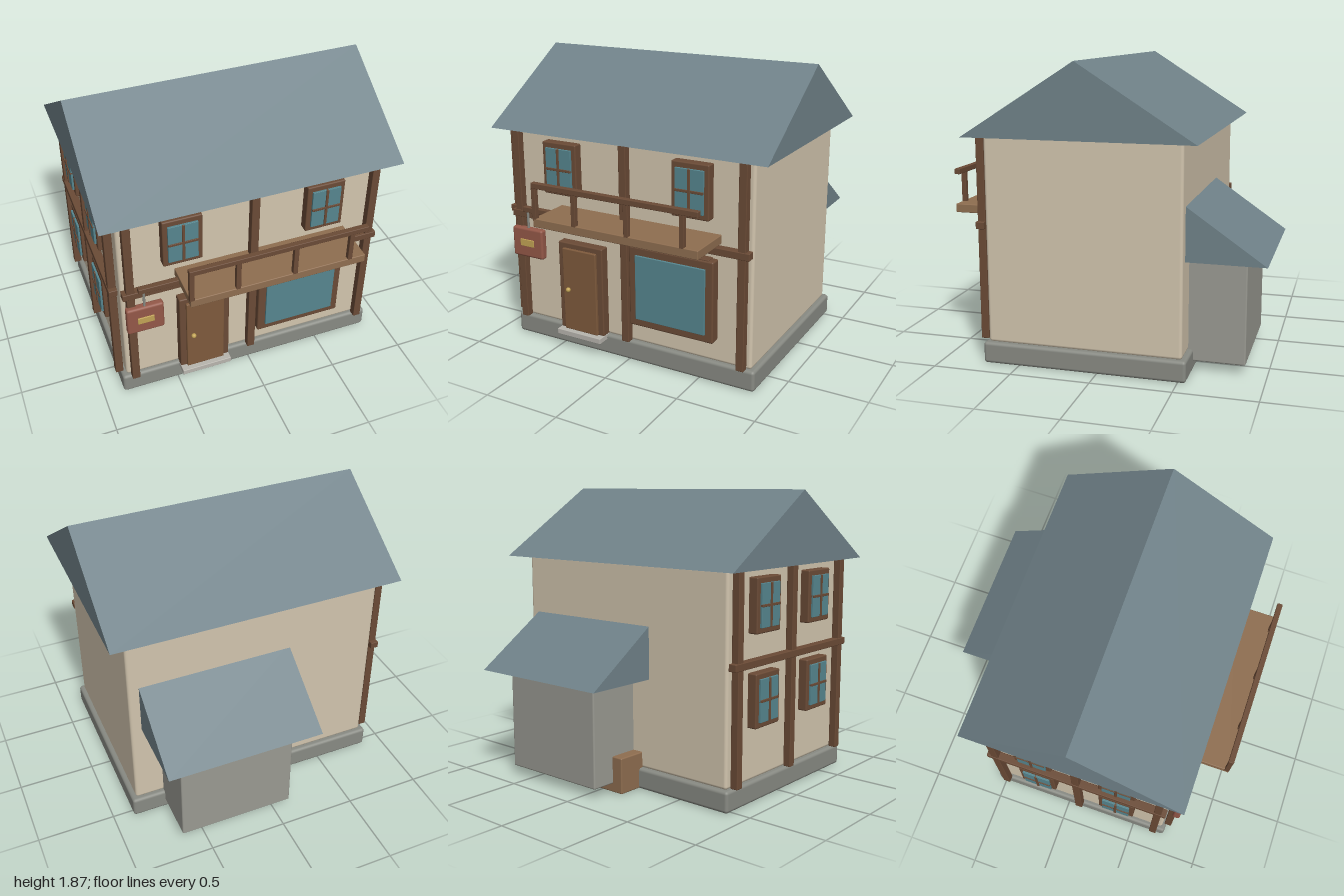
import * as THREE from 'three';
import { RoundedBoxGeometry } from 'three/addons/geometries/RoundedBoxGeometry.js';

const mat = (color) => new THREE.MeshStandardMaterial({ color });
const M = {
  wall: mat(0xd2c5ae), roof: mat(0x708289), stone: mat(0x888a83), annex: mat(0x9a9a92),
  step: mat(0xb8b5ae), timber: mat(0x6b4b36), door: mat(0x7e5a3c), deck: mat(0x8f6e50),
  glass: mat(0x56868f), sign: mat(0x945848), brass: mat(0xc2a355),
};

// Softly bevelled box given by its min/max extents
function block(parent, name, material, [x0, x1], [y0, y1], [z0, z1], bevel = 0.004) {
  const mesh = new THREE.Mesh(new RoundedBoxGeometry(x1 - x0, y1 - y0, z1 - z0, 2, bevel), material);
  mesh.position.set((x0 + x1) / 2, (y0 + y1) / 2, (z0 + z1) / 2);
  mesh.name = name;
  parent.add(mesh);
  return mesh;
}

// Prism along x from a [z, y] outline
function prism(parent, name, material, outline, x0, x1) {
  const shape = new THREE.Shape(outline.map(([z, y]) => new THREE.Vector2(-z, y)));
  const geo = new THREE.ExtrudeGeometry(shape, { depth: x1 - x0, bevelEnabled: false });
  geo.rotateY(Math.PI / 2).translate(x0, 0, 0);
  const mesh = new THREE.Mesh(geo, material);
  mesh.name = name;
  parent.add(mesh);
}

// Four-pane window facing +z, with the wall face at z = 0
function paneWindow(parent, x, y) {
  const g = new THREE.Group();
  g.name = 'window';
  block(g, 'windowFrame', M.timber, [-0.123, 0.123], [-0.167, 0.167], [-0.01, 0.06], 0.008);
  block(g, 'windowGlass', M.glass, [-0.093, 0.093], [-0.132, 0.132], [0.05, 0.073], 0.002);
  block(g, 'uprightBar', M.timber, [-0.008, 0.008], [-0.132, 0.132], [0.06, 0.08], 0.002);
  block(g, 'crossBar', M.timber, [-0.093, 0.093], [-0.008, 0.008], [0.06, 0.079], 0.002);
  g.position.set(x, y, 0);
  parent.add(g);
}

// Timber posts and mid beam on one wall face
function timberFrame(parent, posts, halfWidth) {
  for (const x of posts) block(parent, 'timberPost', M.timber, [x - 0.025, x + 0.025], [0.14, 1.42], [0.013, 0.062]);
  block(parent, 'midBeam', M.timber, [-halfWidth, halfWidth], [0.845, 0.89], [0.013, 0.066]);
}

export function createModel() {
  const house = new THREE.Group();
  house.name = 'house';

  // Main body
  block(house, 'foundation', M.stone, [-0.87, 0.87], [0, 0.135], [-0.55, 0.73], 0.02);
  block(house, 'walls', M.wall, [-0.84, 0.84], [0.13, 1.425], [-0.52, 0.705], 0.02);
  prism(house, 'mainRoof', M.roof, [[0.8, 1.42], [0.09, 1.87], [-0.62, 1.42]], -0.95, 0.95);

  // Rear annex with lean-to roof and two blocks below
  block(house, 'annexWalls', M.annex, [-0.105, 0.65], [0.06, 0.73], [-0.87, -0.5], 0.01);
  prism(house, 'annexRoof', M.roof, [[-0.5, 0.71], [-0.5, 1.055], [-1, 0.71]], -0.24, 0.77);
  for (const x of [-0.18, 0.2]) block(house, 'crate', M.deck, [x, x + 0.24], [0.005, 0.235], [-0.71, -0.5], 0.008);

  // Front wall framing and upper windows
  const front = new THREE.Group();
  front.name = 'frontFace';
  front.position.z = 0.703;
  timberFrame(front, [-0.79, 0, 0.79], 0.84);
  for (const x of [-0.457, 0.457]) paneWindow(front, x, 1.203);
  house.add(front);

  // Right side wall framing and two rows of windows
  const side = new THREE.Group();
  side.name = 'rightFace';
  side.position.set(-0.84, 0, 0.09);
  side.rotation.y = -Math.PI / 2;
  timberFrame(side, [-0.56, 0, 0.56], 0.615);
  for (const x of [-0.28, 0.28]) for (const y of [0.633, 1.203]) paneWindow(side, x, y);
  house.add(side);

  // Shop window
  block(house, 'shopWindowFrame', M.timber, [0.04, 0.615], [0.275, 0.795], [0.69, 0.77], 0.01);
  block(house, 'shopWindowGlass', M.glass, [0.09, 0.565], [0.325, 0.745], [0.75, 0.782], 0.003);
  block(house, 'shopWindowLintel', M.timber, [0.335, 0.58], [0.77, 0.802], [0.69, 0.762]);

  // Door
  block(house, 'doorFrame', M.timber, [-0.49, -0.16], [0.135, 0.728], [0.69, 0.765], 0.008);
  block(house, 'door', M.door, [-0.45, -0.2], [0.137, 0.693], [0.72, 0.782], 0.006);
  block(house, 'doorStep', M.step, [-0.49, -0.16], [0.1, 0.137], [0.69, 0.812]);
  const knob = new THREE.Mesh(new THREE.SphereGeometry(0.016, 16, 12), M.brass);
  knob.name = 'doorKnob';
  knob.position.set(-0.408, 0.417, 0.79);
  house.add(knob);

  // Balcony
  block(house, 'balconyFloor', M.deck, [-0.495, 0.635], [0.895, 0.95], [0.7, 0.998], 0.005);
  block(house, 'balconyRail', M.timber, [-0.5, 0.635], [1.14, 1.175], [0.965, 1], 0.004);
  for (const x of [-0.485, -0.197, 0.167, 0.53])
    block(house, 'balconyPost', M.timber, [x - 0.015, x + 0.015], [0.94, 1.15], [0.968, 0.998], 0.003);

  // Hanging sign
  block(house, 'signArm', M.timber, [-0.745, -0.48], [0.887, 0.922], [0.75, 0.785]);
  const rod = new THREE.Mesh(new THREE.CylinderGeometry(0.008, 0.008, 0.13, 12), M.stone);
  rod.name = 'signRod';
  rod.position.set(-0.713, 0.835, 0.775);
  house.add(rod);
  block(house, 'signBoard', M.sign, [-0.83, -0.595], [0.583, 0.782], [0.745, 0.796], 0.015);
  block(house, 'signPlate', M.brass, [-0.765, -0.66], [0.66, 0.707], [0.78, 0.803], 0.003);

  return house;
}
